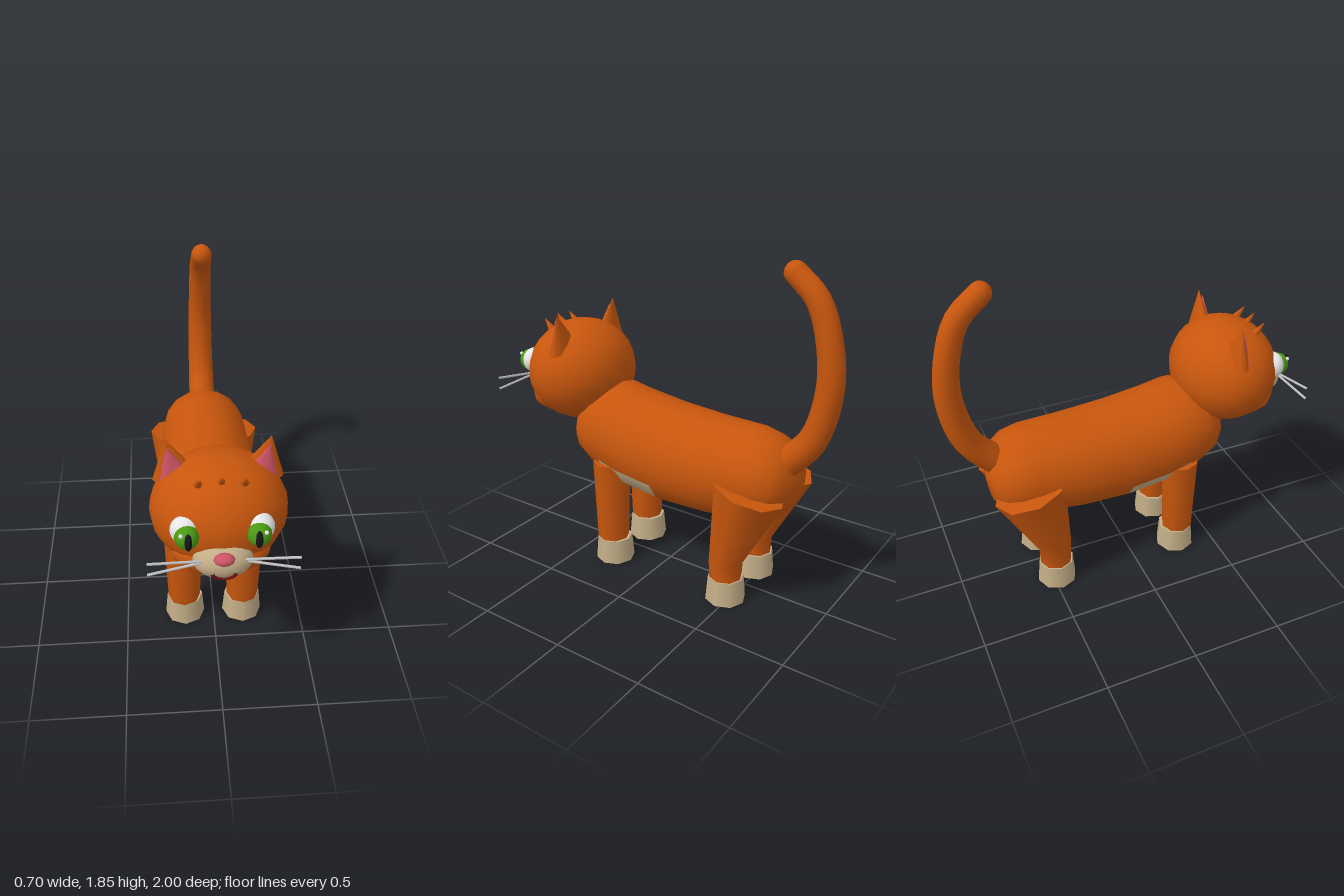
import * as THREE from 'three';

const mat = (name, color) => new THREE.MeshStandardMaterial({ name, color });

// Skin closed rings of points, ordered front to back; pick(i, j) gives the material group
function loft(rings, pick = () => 0) {
  const n = rings[0].length, pos = [], faces = [[], []];
  rings.forEach(r => r.forEach(p => pos.push(...p)));
  for (let i = 0; i < rings.length - 1; i++) {
    for (let j = 0; j < n; j++) {
      const k = (j + 1) % n;
      const a = i * n + j, b = i * n + k, c = b + n, d = a + n;
      faces[pick(i, j)].push(a, d, c, a, c, b);
    }
  }
  const g = new THREE.BufferGeometry();
  g.setAttribute('position', new THREE.Float32BufferAttribute(pos, 3));
  g.setIndex([...faces[0], ...faces[1]]);
  g.addGroup(0, faces[0].length, 0);
  if (faces[1].length) g.addGroup(faces[0].length, faces[1].length, 1);
  g.computeVertexNormals();
  return g;
}

const ring = (n, f) => Array.from({ length: n }, (_, j) => {
  const t = (j / n) * Math.PI * 2;
  return f(Math.cos(t), Math.sin(t));
});

export function createModel() {
  const cat = new THREE.Group();
  cat.name = 'cat';
  const fur = mat('orange fur', 0xc8560d);
  const cream = mat('cream', 0xc4ae88);
  const pink = mat('pink', 0xcc5566);
  const white = mat('eye white', 0xececec);
  const green = mat('iris green', 0x4a9a12);
  const black = mat('pupil black', 0x16161c);
  const red = mat('mouth red', 0x701414);
  const grey = mat('whisker grey', 0xc4c4c4);

  const add = (name, geo, material, p = [0, 0, 0], parent = cat) => {
    const m = new THREE.Mesh(geo, material);
    m.name = name;
    m.position.set(...p);
    parent.add(m);
    return m;
  };
  const ball = (name, material, p, r, w = 16, h = 12) =>
    add(name, new THREE.SphereGeometry(1, w, h).scale(...r), material, p);
  const rod = (name, material, a, b, r) => {
    const curve = new THREE.LineCurve3(new THREE.Vector3(...a), new THREE.Vector3(...b));
    return add(name, new THREE.TubeGeometry(curve, 1, r, 6), material);
  };

  // Body: z, bottom, top, half width; cream patch on the underside
  const sections = [
    [0.575, 0.74, 0.74, 0], [0.57, 0.66, 0.84, 0.1], [0.55, 0.62, 0.9, 0.17], [0.5, 0.565, 0.96, 0.225],
    [0.43, 0.52, 1.01, 0.255], [0.33, 0.475, 1.04, 0.272], [0.2, 0.435, 1.015, 0.276],
    [-0.03, 0.41, 0.985, 0.276], [-0.3, 0.42, 0.967, 0.268], [-0.55, 0.455, 0.963, 0.252],
    [-0.65, 0.485, 0.94, 0.235], [-0.72, 0.52, 0.89, 0.2], [-0.77, 0.58, 0.82, 0.135], [-0.785, 0.7, 0.7, 0],
  ];
  const bodyRings = sections.map(([z, lo, hi, w]) =>
    ring(16, (c, s) => [w * c, (lo + hi) / 2 + s * (hi - lo) / 2, z]));
  const belly = (i, j) =>
    (i === 4 && j >= 10 && j <= 13) || (i > 4 && i < 7 && j >= 9 && j <= 14) ? 1 : 0;
  add('body', loft(bodyRings, belly), [fur, cream]);

  // Tail: tapered tube with rounded tip
  const path = new THREE.CatmullRomCurve3([
    [0.8, -0.71], [0.97, -0.855], [1.25, -0.925], [1.5, -0.9], [1.68, -0.83], [1.79, -0.71],
  ].map(([y, z]) => new THREE.Vector3(0, y, z)));
  const tail = new THREE.TubeGeometry(path, 20, 1, 12);
  const tp = tail.attributes.position, v = new THREE.Vector3();
  for (let i = 0; i < tp.count; i++) {
    const u = Math.floor(i / 13) / 20, c = path.getPointAt(u);
    v.fromBufferAttribute(tp, i).sub(c).multiplyScalar(0.08 - 0.022 * u).add(c);
    tp.setXYZ(i, v.x, v.y, v.z);
  }
  add('tail', tail, fur);
  ball('tailTip', fur, [0, 1.79, -0.71], [0.058, 0.058, 0.058], 12, 8);

  // Head, cheeks, muzzle and nose
  ball('head', fur, [0, 1.07, 0.625], [0.335, 0.29, 0.295], 20, 14);
  ball('cheeks', fur, [0, 0.93, 0.735], [0.25, 0.13, 0.18]);
  ball('muzzle', cream, [0, 0.972, 0.885], [0.142, 0.095, 0.095]);
  ball('nose', pink, [0, 1.035, 0.965], [0.05, 0.029, 0.035], 12, 8);

  // Smile following the muzzle surface
  const smile = [];
  for (let i = 0; i <= 8; i++) {
    const t = Math.PI * (1 + i / 8), x = 0.055 * Math.cos(t), y = 0.962 + 0.046 * Math.sin(t);
    const q = 1 - (x / 0.142) ** 2 - ((y - 0.972) / 0.095) ** 2;
    smile.push(new THREE.Vector3(x, y, 0.885 + 0.095 * Math.sqrt(q)));
  }
  add('mouth', new THREE.TubeGeometry(new THREE.CatmullRomCurve3(smile), 16, 0.01, 6), red);

  // Three tufts on the forehead
  for (const x of [-0.105, 0, 0.105]) {
    const tuft = add('tuft', new THREE.ConeGeometry(0.028, 0.1, 8), fur, [x, x ? 1.325 : 1.335, 0.775]);
    tuft.rotation.x = 0.75;
  }

  // Hind leg profile: y, centre z, half width, half depth, backward tilt
  const thigh = [
    [0.685, -0.595, 0, 0, 0], [0.685, -0.595, 0.16, 0.195, 0.045], [0.685, -0.595, 0.16, 0.195, 0.045],
    [0.46, -0.535, 0.128, 0.145, 0.02], [0.24, -0.475, 0.095, 0.095, 0], [0.12, -0.475, 0.09, 0.09, 0],
  ];

  for (const s of [1, -1]) {
    const side = s > 0 ? 'left' : 'right';

    // Legs and paws
    add(side + 'FrontLeg', new THREE.CylinderGeometry(0.106, 0.09, 0.5, 8), fur, [s * 0.168, 0.37, 0.293]);
    add(side + 'HindLeg', loft(thigh.map(([y, z, rx, rz, tilt]) =>
      ring(8, (c, k) => [rx * c, y - tilt * k, z - rz * k]))), fur, [s * 0.168, 0, 0]);
    for (const [name, z] of [['FrontPaw', 0.285], ['HindPaw', -0.475]]) {
      add(side + name, new THREE.CylinderGeometry(0.1, 0.112, 0.14, 8), cream, [s * 0.165, 0.07, z]);
    }

    // Ears with pink lining
    const ear = new THREE.Group();
    ear.name = side + 'Ear';
    ear.position.set(s * 0.205, 1.235, 0.585);
    ear.rotation.z = -s * 0.2;
    add('outerEar', new THREE.ConeGeometry(0.11, 0.21, 12).scale(1, 1, 0.45), fur, [0, 0.105, 0], ear);
    add('innerEar', new THREE.ConeGeometry(0.08, 0.17, 12).scale(1, 1, 0.45), pink, [0, 0.09, 0.021], ear);
    cat.add(ear);

    // Eyes
    ball(side + 'EyeWhite', white, [s * 0.17, 1.12, 0.845], [0.072, 0.073, 0.062]);
    ball(side + 'Iris', green, [s * 0.165, 1.113, 0.886], [0.058, 0.062, 0.058]);
    ball(side + 'Pupil', black, [s * 0.16, 1.115, 0.93], [0.019, 0.047, 0.024], 12, 8);
    ball(side + 'Glint', white, [s * 0.192, 1.15, 0.925], [0.011, 0.011, 0.011], 8, 6);

    // Whiskers
    rod(side + 'UpperWhisker', grey, [s * 0.1, 1.003, 0.935], [s * 0.35, 1.033, 0.97], 0.007);
    rod(side + 'LowerWhisker', grey, [s * 0.1, 0.995, 0.935], [s * 0.35, 0.967, 0.97], 0.007);
  }
  return cat;
}
